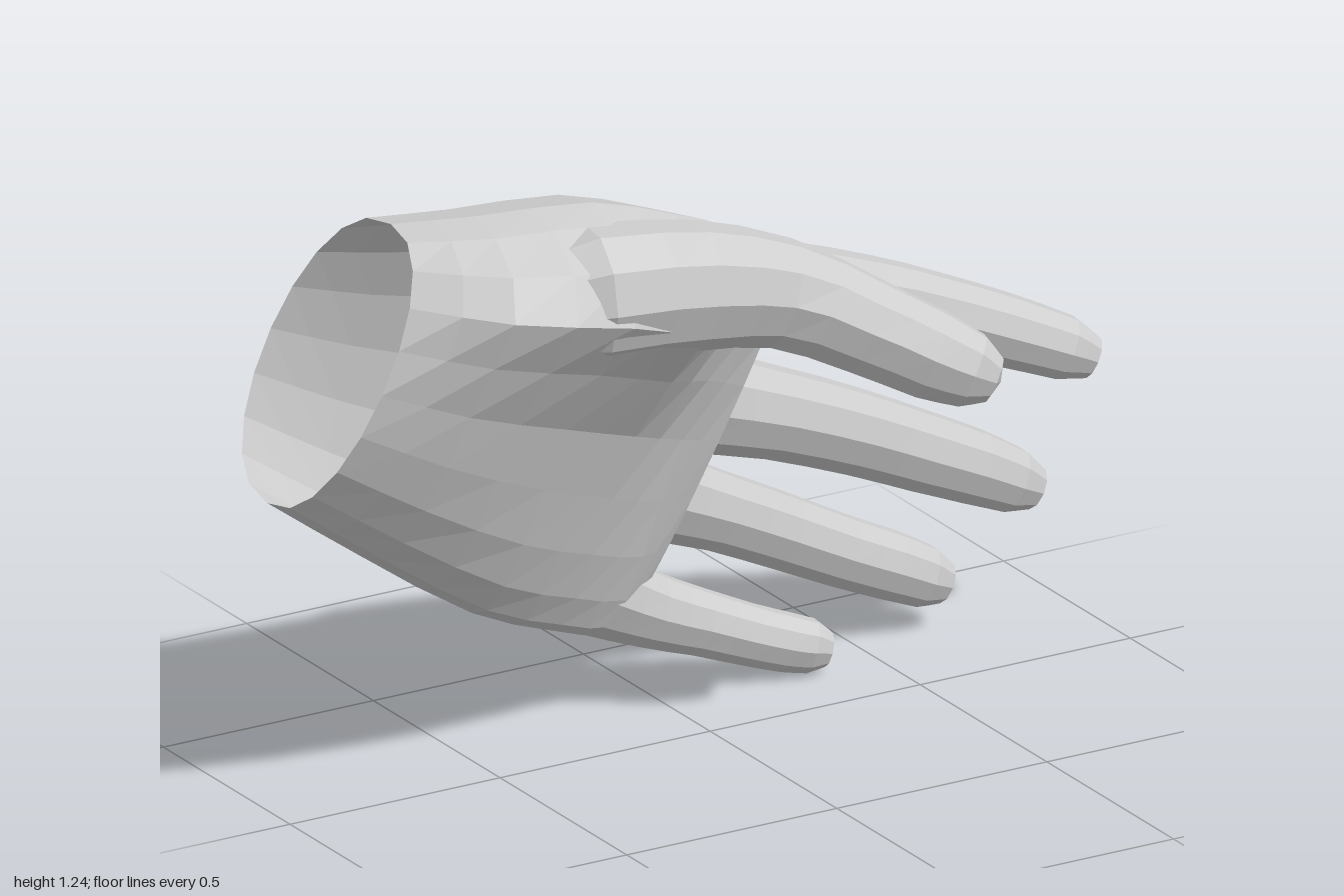
import * as THREE from 'three';

const skin = new THREE.MeshStandardMaterial({ color: 0xcccccc, flatShading: true, side: THREE.DoubleSide });
const V = (x, y, z) => new THREE.Vector3(x, y, z);

// Skin a surface over rings of points; the far end is closed with a fan
function loft(name, rings, endPoint) {
  const n = rings[0].length, pos = [], idx = [];
  rings.forEach(r => r.forEach(p => pos.push(p.x, p.y, p.z)));
  for (let i = 0; i < rings.length - 1; i++) {
    for (let j = 0; j < n; j++) {
      const a = i * n + j, b = i * n + (j + 1) % n;
      idx.push(a, b, a + n, b, b + n, a + n);
    }
  }
  const last = (rings.length - 1) * n, tip = rings.length * n;
  pos.push(endPoint.x, endPoint.y, endPoint.z);
  for (let j = 0; j < n; j++) idx.push(last + j, last + (j + 1) % n, tip);
  const g = new THREE.BufferGeometry();
  g.setAttribute('position', new THREE.Float32BufferAttribute(pos, 3));
  g.setIndex(idx);
  g.computeVertexNormals();
  const mesh = new THREE.Mesh(g, skin);
  mesh.name = name;
  return mesh;
}

// A digit follows a smooth path of [x, y, z, radius] points
function digit(name, pts, sides) {
  const curve = new THREE.CatmullRomCurve3(pts.map(p => V(p[0], p[1], p[2])));
  const steps = 2 * (pts.length - 1), rings = [];
  let d;
  for (let i = 0; i <= steps; i++) {
    const k = Math.min(Math.floor(i / 2), pts.length - 2);
    const r = THREE.MathUtils.lerp(pts[k][3], pts[k + 1][3], i / 2 - k);
    const c = curve.getPoint(i / steps);
    d = curve.getTangent(i / steps);
    const front = V(0, 0, 1).addScaledVector(d, -d.z).normalize();
    const side = d.clone().cross(front);
    rings.push(Array.from({ length: sides }, (_, j) => {
      const a = j / sides * Math.PI * 2;
      return c.clone().addScaledVector(front, Math.cos(a) * r).addScaledVector(side, Math.sin(a) * r);
    }));
  }
  const end = pts[pts.length - 1];
  return loft(name, rings, V(end[0], end[1], end[2]).addScaledVector(d, end[3] * 0.3));
}

// Palm stations: upper edge, lower edge, then [front bulge, back bulge, thumb mound]
function palm() {
  const stations = [
    [[-0.73, 1.25, -0.05], [-1.0, 0.68, -0.09], [0.21, 0.23, 0]],
    [[-0.56, 1.25, 0.0], [-0.78, 0.52, -0.09], [0.2, 0.26, 0.09]],
    [[-0.3, 1.235, 0.02], [-0.5, 0.33, -0.11], [0.13, 0.3, 0.17]],
    [[-0.09, 1.16, 0.0], [-0.28, 0.23, -0.16], [0.08, 0.3, 0.18]],
    [[0.1, 1.06, -0.1], [-0.13, 0.18, -0.2], [0.06, 0.24, 0.07]],
    [[0.31, 0.91, -0.2], [-0.05, 0.2, -0.24], [0.04, 0.13, 0]],
  ];
  const path = k => new THREE.CatmullRomCurve3(stations.map(s => V(...s[k])));
  const [upper, lower, bulge] = [0, 1, 2].map(path);
  const steps = 10, sides = 20, rings = [];
  for (let i = 0; i <= steps; i++) {
    const u = i / steps, top = upper.getPoint(u), low = lower.getPoint(u), b = bulge.getPoint(u);
    rings.push(Array.from({ length: sides }, (_, j) => {
      const a = j / sides * Math.PI * 2, s = Math.sin(a);
      const p = top.clone().lerp(low, (1 - Math.cos(a)) / 2);
      p.z += s > 0 ? b.x * s ** 0.85 : -b.y * (-s) ** 0.85;
      p.z += b.z * Math.exp(-(((a - 0.87) / 0.45) ** 2));
      return p;
    }));
  }
  return loft('palm', rings, V(0.16, 0.55, -0.26));
}

export function createModel() {
  const hand = new THREE.Group();
  hand.name = 'hand';
  hand.add(palm());

  // Thumb, growing out of the mound in the palm
  hand.add(digit('thumb', [
    [-0.62, 1.06, 0.05, 0.08], [-0.36, 1.08, 0.125, 0.145], [-0.12, 1.05, 0.125, 0.135],
    [0.08, 1.0, 0.145, 0.115], [0.24, 0.92, 0.225, 0.102], [0.35, 0.86, 0.295, 0.095],
    [0.42, 0.825, 0.335, 0.08], [0.46, 0.805, 0.358, 0.05],
  ], 10));

  // Four fingers, rooted inside the palm
  const fingers = {
    indexFinger: [
      [-0.25, 0.93, -0.14, 0.08], [0.1, 0.89, -0.175, 0.132], [0.3, 0.84, -0.2, 0.105], [0.5, 0.785, -0.2, 0.088],
      [0.63, 0.74, -0.18, 0.081], [0.78, 0.68, -0.145, 0.077], [0.91, 0.625, -0.11, 0.068], [0.965, 0.598, -0.092, 0.045],
    ],
    middleFinger: [
      [-0.2, 0.74, -0.22, 0.08], [0.1, 0.62, -0.29, 0.112], [0.33, 0.535, -0.305, 0.097], [0.53, 0.45, -0.31, 0.09],
      [0.68, 0.38, -0.305, 0.085], [0.8, 0.325, -0.295, 0.079], [0.89, 0.28, -0.285, 0.069], [0.94, 0.255, -0.277, 0.046],
    ],
    ringFinger: [
      [-0.25, 0.56, -0.22, 0.07], [0.03, 0.425, -0.295, 0.098], [0.2, 0.345, -0.31, 0.084], [0.36, 0.265, -0.315, 0.08],
      [0.49, 0.2, -0.305, 0.076], [0.6, 0.15, -0.295, 0.073], [0.68, 0.112, -0.285, 0.066], [0.725, 0.092, -0.277, 0.045],
    ],
    littleFinger: [
      [-0.35, 0.39, -0.19, 0.07], [-0.13, 0.26, -0.245, 0.095], [0.0, 0.19, -0.25, 0.08], [0.12, 0.14, -0.24, 0.07],
      [0.22, 0.1, -0.22, 0.065], [0.3, 0.073, -0.2, 0.062], [0.35, 0.06, -0.185, 0.057], [0.385, 0.05, -0.175, 0.038],
    ],
  };
  for (const [name, pts] of Object.entries(fingers)) hand.add(digit(name, pts, 10));
  return hand;
}
